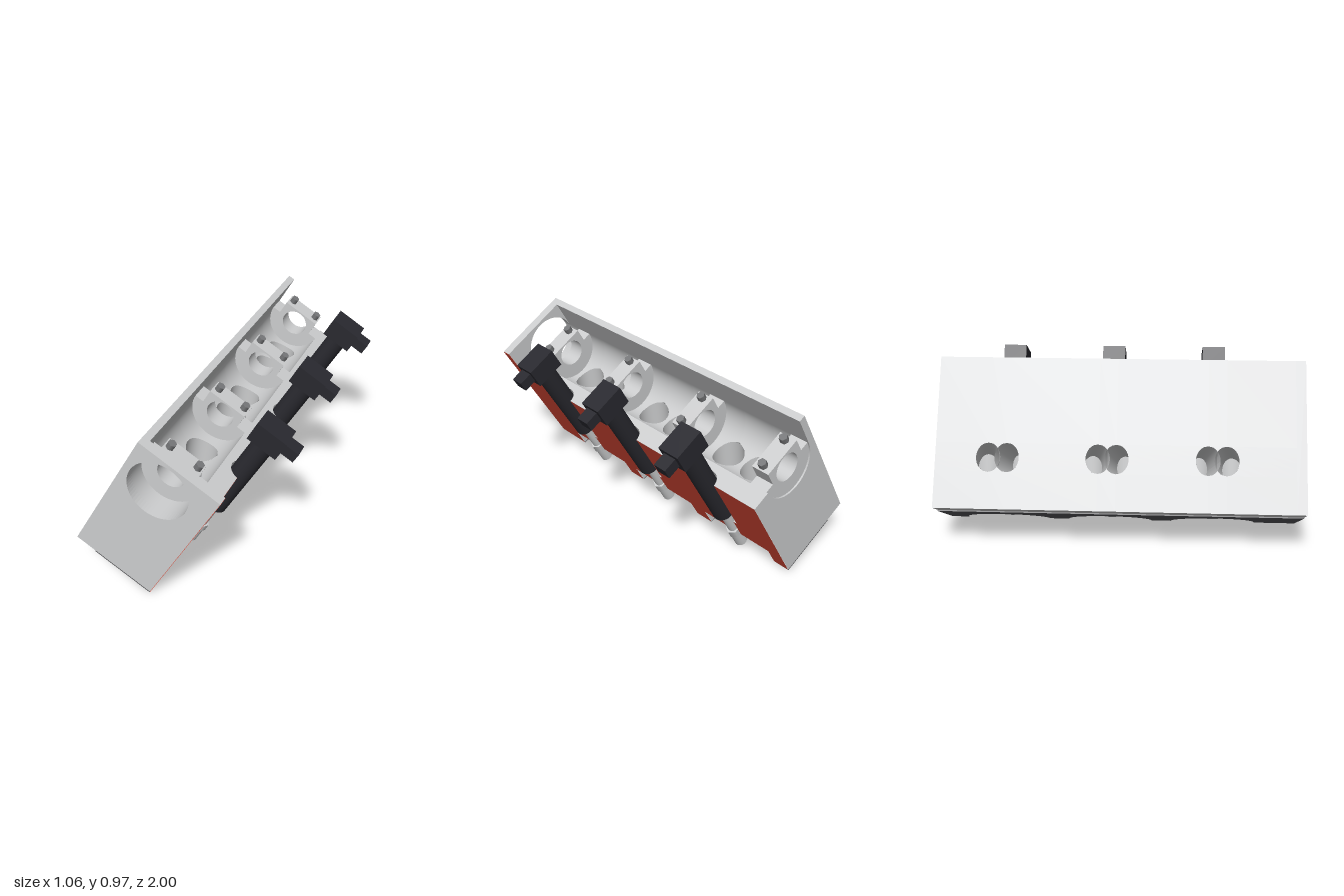
import * as THREE from 'three';

const mat = (name, color, side = THREE.FrontSide) => {
  const m = new THREE.MeshStandardMaterial({ color, side });
  m.name = name;
  return m;
};
const castGrey = mat('cast grey', 0xcdcecf, THREE.DoubleSide);
const sectionRed = mat('section red', 0xde4b38, THREE.DoubleSide);
const black = mat('injector black', 0x29292f);
const boltGrey = mat('bolt grey', 0x77787a);
const gasketGrey = mat('gasket dark grey', 0x57575a, THREE.DoubleSide);

// Cross-section sizes: x across, y up the block, z along it
const W = 0.48, H = 0.837, DECK = 0.65, WALL = 0.039;
const CAM_X = 0.206, CAM_R = 0.167, BORE_R = 0.079;
const CHAMBER_R = 0.24, ROOF = 0.115, VALVE_R = 0.086;
const BACK = -1, STEP = 0.945, FRONT = 1;
const UNITS = [0.525, -0.067, -0.66];
const CAPS = [0.798, 0.222, -0.367, -0.938];

const lerp = (a, b, n) => Array.from({ length: n + 1 }, (_, i) => a + (b - a) * i / n);
const chord = (r, d) => Math.sqrt(Math.max(0, r * r - d * d));

function add(parent, name, geometry, material, x = 0, y = 0, z = 0) {
  const mesh = new THREE.Mesh(geometry, material);
  mesh.name = name;
  mesh.position.set(x, y, z);
  parent.add(mesh);
  return mesh;
}

// Grid from rows of points; only the columns accepted by keep become quads
function grid(rows, keep = () => true) {
  const n = rows[0].length, index = [];
  for (let i = 0; i + 1 < rows.length; i++) for (let j = 0; j + 1 < n; j++) {
    if (!keep(j)) continue;
    const a = i * n + j, b = a + n;
    index.push(a, b, a + 1, b, b + 1, a + 1);
  }
  const g = new THREE.BufferGeometry();
  g.setAttribute('position', new THREE.Float32BufferAttribute(rows.flat(2), 3));
  g.setIndex(index);
  g.computeVertexNormals();
  return g;
}

// Sheet swept along z; each row [x, y, h] leaves gaps of half width h at every opening
function sheet(rows, offsets = [], z1 = STEP) {
  const centres = UNITS.flatMap(c => offsets.map(o => c + o)).sort((a, b) => a - b);
  return grid(rows.map(([x, y, h = 0]) => {
    const stops = [BACK, ...centres.flatMap(c => [c - h, c + h]), z1];
    // Overlapping openings merge at their midline
    for (let i = 2; i + 1 < stops.length; i += 2)
      if (stops[i] > stops[i + 1]) stops[i] = stops[i + 1] = (stops[i] + stops[i + 1]) / 2;
    return stops.map(z => [x, y, z]);
  }), j => j % 2 === 0);
}

// Passage between two rings given as functions of angle
function passage(ringA, ringB) {
  const angles = lerp(0, Math.PI * 2, 32);
  return grid([angles.map(ringA), angles.map(ringB)]);
}

function extrude(shape, z0, z1) {
  const g = new THREE.ExtrudeGeometry(shape, { depth: z1 - z0, bevelEnabled: false, curveSegments: 32 });
  return g.translate(0, 0, z0);
}

// Chamber and injector bore profile, as [radius, height]
const chamber = [[CHAMBER_R, 0], [CHAMBER_R, ROOF]];
const bore = [[0.04, ROOF], [0.04, 0.255], [0.065, 0.255], [0.065, DECK]];
const toVec = ([x, y]) => new THREE.Vector2(x, y);
const halfLathe = pts => new THREE.LatheGeometry(pts.map(toVec), 32, Math.PI, Math.PI);

function makeBlock(block) {
  // End wall with the camshaft opening
  const wall = new THREE.Shape([[0, 0], [W, 0], [W, H], [0, H]].map(toVec));
  wall.holes.push(new THREE.Path().absarc(CAM_X, DECK, CAM_R, 0, Math.PI * 2, true));
  add(block, 'frontWall', extrude(wall, STEP, FRONT), castGrey);

  // Rear end face
  const end = new THREE.Shape([[0, 0], [W, 0], [W, DECK]].map(toVec));
  end.absarc(CAM_X, DECK, CAM_R, 0, Math.PI, true);
  end.lineTo(WALL, H);
  end.lineTo(0, H);
  add(block, 'rearFace', new THREE.ShapeGeometry(end, 32), castGrey, 0, 0, BACK);

  // Outer side with paired, merging port openings
  const portRows = lerp(-1, 1, 32).map(t => [0, 0.28 + 0.08 * t, 0.066 * chord(1, t)]);
  add(block, 'portSide', sheet([[0, 0], ...portRows, [0, H]], [-0.05, 0.05]), castGrey);

  // Tall side wall
  add(block, 'wallTop', sheet([[0, H], [WALL, H]]), castGrey);
  add(block, 'wallInside', sheet([[WALL, H], [WALL, DECK]]), castGrey);

  // Camshaft channel with paired valve openings
  const channel = lerp(Math.PI, Math.PI * 2, 64).map(a => {
    const x = CAM_X + CAM_R * Math.cos(a);
    return [x, DECK + CAM_R * Math.sin(a), chord(VALVE_R, x - 0.24)];
  });
  add(block, 'camChannel', sheet(channel, [-0.1, 0.1]), castGrey);

  // Deck and underside
  const deck = lerp(W - 0.065, W, 12).map(x => [x, DECK, chord(0.065, W - x)]);
  add(block, 'deck', sheet([[CAM_X + CAM_R, DECK], ...deck], [0]), castGrey);
  const under = y => lerp(0, Math.PI / 2, 24).map(a =>
    [W - CHAMBER_R * Math.cos(a), y, CHAMBER_R * Math.sin(a)]);
  add(block, 'underside', sheet([[0, 0], ...under(0)], [0]), castGrey);

  // Cut face showing the chambers and injector bores
  const cut = [...chamber, ...bore].map(([r, y]) => [W + 0.001, y, r]);
  add(block, 'sectionFace', sheet(cut, [0]), sectionRed);
  add(block, 'sectionFaceEnd', new THREE.BoxGeometry(0.002, H, FRONT - STEP), sectionRed,
    W, H / 2, (STEP + FRONT) / 2);

  // Head gasket
  add(block, 'gasket', sheet([[0.122, -0.006], ...under(-0.006)], [0], FRONT), gasketGrey);
  add(block, 'gasketEdge', sheet([[0.122, 0], [0.122, -0.006]], [], FRONT), gasketGrey);
  for (const z of [BACK + 0.002, FRONT - 0.002])
    add(block, 'gasketEnd', new THREE.BoxGeometry(W - 0.122, 0.006, 0.004), gasketGrey, (W + 0.122) / 2, -0.003, z);
}

function makeChamber(block, c) {
  add(block, 'chamberWall', halfLathe(chamber), castGrey, W, 0, c);
  add(block, 'injectorBore', halfLathe(bore.slice(0, 2)), castGrey, W, 0, c);
  add(block, 'injectorSeat', halfLathe(bore.slice(1, 3)), castGrey, W, 0, c);
  add(block, 'injectorWell', halfLathe(bore.slice(2)), castGrey, W, 0, c);

  // Flat chamber roof with two valve openings
  const roof = new THREE.Shape();
  roof.absarc(0, 0, CHAMBER_R, Math.PI / 2, Math.PI * 1.5, false);
  roof.lineTo(0, -0.04);
  roof.absarc(0, 0, 0.04, Math.PI * 1.5, Math.PI / 2, true);
  for (const s of [-1, 1])
    roof.holes.push(new THREE.Path().absarc(-0.105, s * 0.1, VALVE_R, 0, Math.PI * 2, true));
  add(block, 'chamberRoof', new THREE.ShapeGeometry(roof, 32).rotateX(Math.PI / 2), castGrey, W, ROOF, c);

  // Valve passages and ports
  for (const s of [-1, 1]) {
    add(block, 'valvePassage', passage(a => {
      const x = 0.24 + VALVE_R * Math.cos(a);
      return [x, DECK - chord(CAM_R, x - CAM_X), c + s * 0.1 + VALVE_R * Math.sin(a)];
    }, a => [W - 0.105 + VALVE_R * Math.cos(a), ROOF, c + s * 0.1 + VALVE_R * Math.sin(a)]), castGrey);
    add(block, 'port', passage(
      a => [0, 0.28 + 0.08 * Math.sin(a), c + s * 0.05 + 0.066 * Math.cos(a)],
      a => [0.27, 0.26 + 0.06 * Math.sin(a), c + s * 0.1 + 0.055 * Math.cos(a)]), castGrey);
  }
}

function makeBearing(c) {
  const g = new THREE.Group();
  g.name = 'camBearing';
  g.position.set(CAM_X, DECK, c);
  // Lower half seat
  const seat = new THREE.Shape();
  seat.absarc(0, 0, CAM_R, Math.PI, Math.PI * 2, false);
  seat.lineTo(BORE_R, 0);
  seat.absarc(0, 0, BORE_R, Math.PI * 2, Math.PI, true);
  add(g, 'bearingSeat', extrude(seat, -0.0525, 0.0525), castGrey);
  // Flat-topped cap
  const cap = new THREE.Shape([[0.115, 0], [0.115, 0.088], [-0.115, 0.088], [-0.115, 0], [-BORE_R, 0]].map(toVec));
  cap.absarc(0, 0, BORE_R, Math.PI, 0, true);
  add(g, 'bearingCap', extrude(cap, -0.0525, 0.0525), castGrey);
  for (const s of [-1, 1])
    add(g, 'capBolt', new THREE.CylinderGeometry(0.024, 0.024, 0.036, 6), boltGrey, s * 0.085, 0.104, 0);
  return g;
}

function makeInjector(c) {
  const g = new THREE.Group();
  g.name = 'injector';
  g.position.set(W + 0.002, 0, c);
  const rod = (name, r, y0, y1, m, sides = 32) =>
    add(g, name, new THREE.CylinderGeometry(r, r, y1 - y0, sides), m, 0, (y0 + y1) / 2, 0);
  rod('nozzle', 0.035, 0.012, 0.113, castGrey);
  rod('collar', 0.042, 0.113, 0.165, castGrey, 6).rotation.y = Math.PI / 6;
  rod('stem', 0.028, 0.165, 0.345, castGrey);
  rod('coilTube', 0.059, 0.34, 0.91, black);
  add(g, 'coilHead', new THREE.BoxGeometry(0.176, 0.12, 0.132), black, 0, 0.962, 0);
  add(g, 'plug', new THREE.BoxGeometry(0.08, 0.062, 0.078), black, 0.125, 0.966, 0);
  return g;
}

export function createModel() {
  const model = new THREE.Group();
  model.name = 'cylinderHeadSection';
  // Everything is built upright, then leaned over by 30 degrees
  const block = new THREE.Group();
  block.name = 'leaningBlock';
  block.rotation.z = -Math.PI / 6;
  block.position.set(-0.53, 0.25, 0);
  makeBlock(block);
  UNITS.forEach(c => {
    makeChamber(block, c);
    block.add(makeInjector(c));
  });
  CAPS.forEach(c => block.add(makeBearing(c)));
  model.add(block);
  return model;
}
